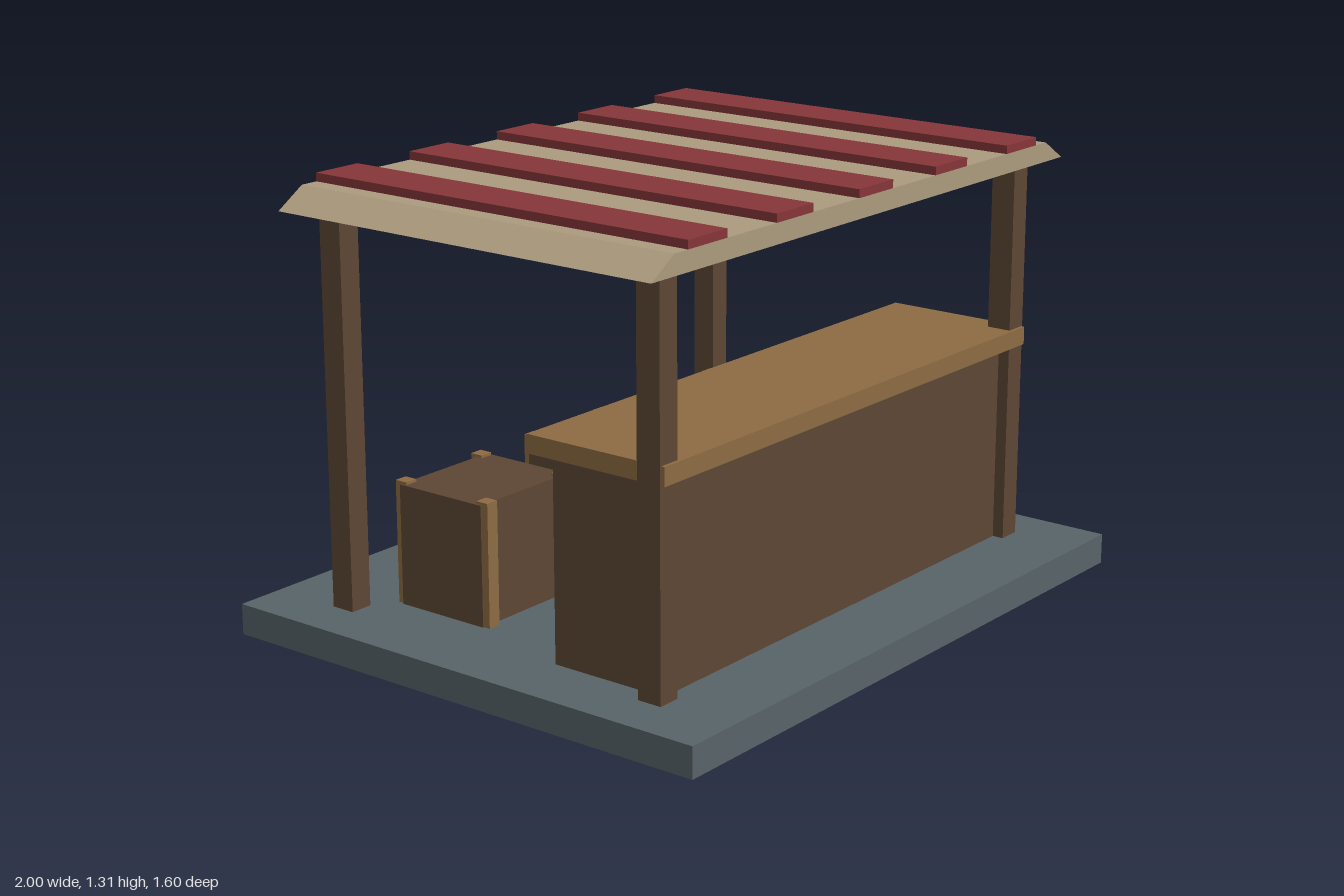
import * as THREE from 'three';

const mat = (name, color) => {
  const m = new THREE.MeshStandardMaterial({ color });
  m.name = name;
  return m;
};

export function createModel() {
  const stone = mat('slate', 0x59656a);
  const darkWood = mat('dark wood', 0x5e4735);
  const lightWood = mat('light wood', 0x8f6c43);
  const canvas = mat('canvas', 0xad9c7f);
  const red = mat('red cloth', 0x873639);

  const stall = new THREE.Group();
  stall.name = 'marketStall';

  // Box given by its centre in x and z and its bottom and top heights
  const box = (parent, name, material, w, d, y0, y1, x = 0, z = 0) => {
    const mesh = new THREE.Mesh(new THREE.BoxGeometry(w, y1 - y0, d), material);
    mesh.position.set(x, (y0 + y1) / 2, z);
    mesh.name = name;
    parent.add(mesh);
  };

  // Floor slab
  box(stall, 'floorSlab', stone, 2, 1.6, 0, 0.09);

  // Corner posts
  for (const x of [-0.82, 0.82])
    for (const z of [-0.547, 0.547])
      box(stall, 'roofPost', darkWood, 0.07, 0.074, 0.09, 1.235, x, z);

  // Serving counter
  box(stall, 'counterBody', darkWood, 1.6, 0.365, 0.09, 0.68, 0, 0.367);
  box(stall, 'counterTop', lightWood, 1.7, 0.455, 0.68, 0.733, 0, 0.367);

  // Crates with corner battens behind the counter
  for (const x of [-0.54, 0, 0.54]) {
    const crate = new THREE.Group();
    crate.name = 'crate';
    crate.position.set(x, 0, -0.295);
    box(crate, 'crateBody', darkWood, 0.36, 0.3, 0.09, 0.442);
    for (const sx of [-1, 1])
      for (const sz of [-1, 1])
        box(crate, 'crateBatten', lightWood, 0.04, 0.04, 0.09, 0.45, sx * 0.155, sz * 0.15);
    stall.add(crate);
  }

  // Canopy with sloping ends
  const profile = new THREE.Shape([
    new THREE.Vector2(-0.953, 1.23),
    new THREE.Vector2(0.953, 1.23),
    new THREE.Vector2(0.863, 1.287),
    new THREE.Vector2(-0.863, 1.287),
  ]);
  const depth = 1.274;
  const roofGeometry = new THREE.ExtrudeGeometry(profile, { depth, bevelEnabled: false });
  roofGeometry.translate(0, 0, -depth / 2);
  const roof = new THREE.Mesh(roofGeometry, canvas);
  roof.name = 'canopy';
  stall.add(roof);

  // Raised canopy stripes
  for (let i = -2; i <= 2; i++)
    box(stall, 'canopyStripe', red, 0.158, depth, 1.287, 1.311, i * 0.365);

  return stall;
}
